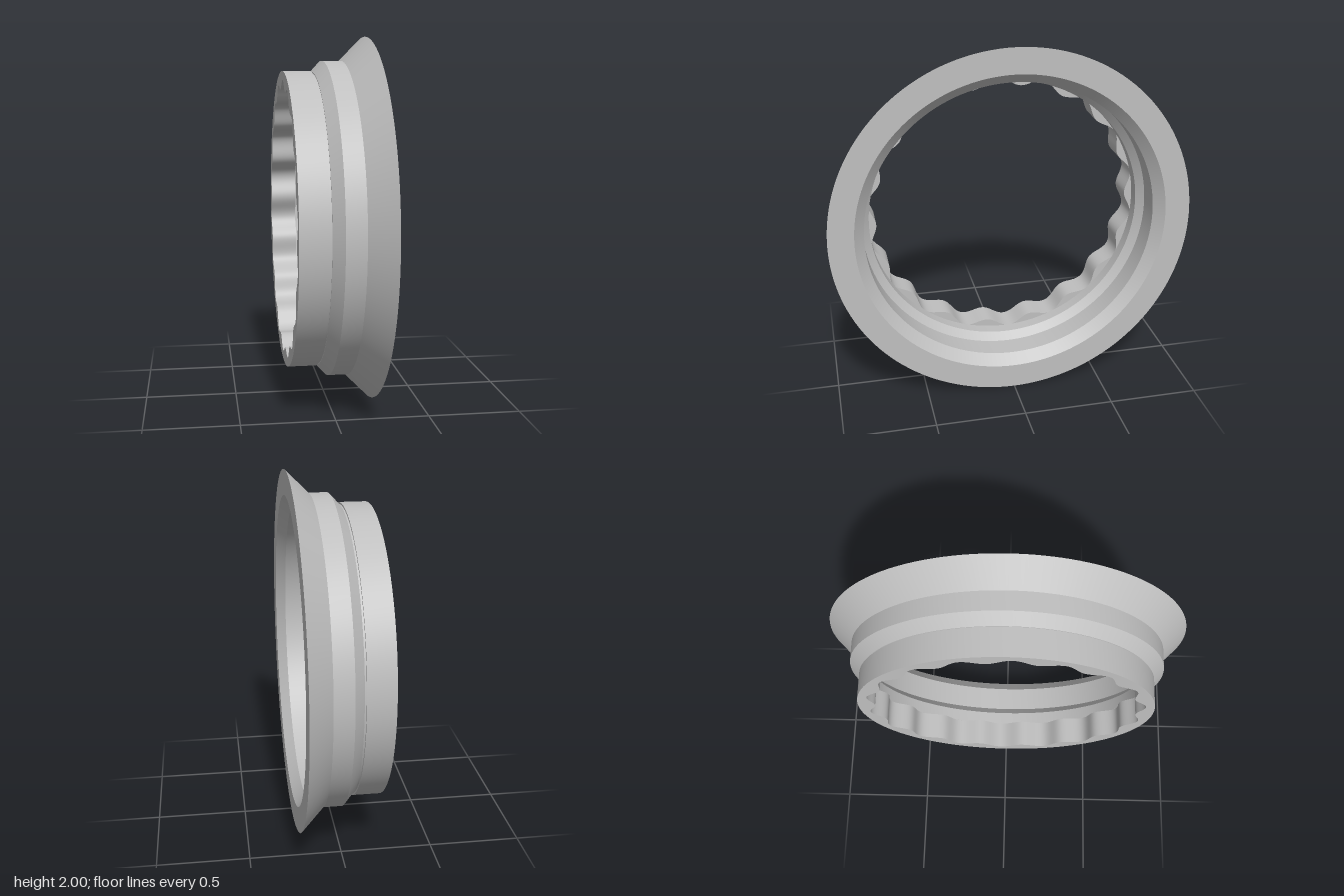
import * as THREE from 'three';
import { toCreasedNormals } from 'three/addons/utils/BufferGeometryUtils.js';

export function createModel() {
  const group = new THREE.Group();
  const grey = new THREE.MeshStandardMaterial({ color: 0xbfbfbf });
  grey.name = 'plain grey';

  const addPart = (name, geometry) => {
    const mesh = new THREE.Mesh(toCreasedNormals(geometry, 0.5), grey);
    mesh.name = name;
    mesh.position.y = 1;
    group.add(mesh);
  };

  // Flared collar with narrow neck: closed profile of [radius, position along x]
  const profile = [
    [0.765, -0.075], [0.805, -0.075], [0.805, -0.065], [0.81, -0.065],
    [0.87, -0.01], [0.87, 0.095], [1, 0.225], [0.86, 0.225],
    [0.805, 0.17], [0.805, 0.035], [0.765, -0.005], [0.765, -0.075],
  ].map(([r, x]) => new THREE.Vector2(r, x));
  addPart('flaredCollar', new THREE.LatheGeometry(profile, 144).rotateZ(-Math.PI / 2));

  // Grip ring with eighteen rounded ridges on its inner wall
  const loop = (radiusAt, count) => Array.from({ length: count }, (_, i) => {
    const a = (i / count) * Math.PI * 2;
    return new THREE.Vector2(Math.cos(a), Math.sin(a)).multiplyScalar(radiusAt(a));
  });
  const phase = THREE.MathUtils.degToRad(2.5);
  const ring = new THREE.Shape(loop(() => 0.815, 144));
  const ridges = loop((a) => 0.744 - 0.023 * Math.cos(18 * (a - phase)), 360);
  ring.holes.push(new THREE.Path(ridges.reverse()));
  const ringGeometry = new THREE.ExtrudeGeometry(ring, { depth: 0.15, bevelEnabled: false, steps: 1 });
  addPart('ridgedRing', ringGeometry.translate(0, 0, -0.225).rotateY(Math.PI / 2));

  return group;
}
